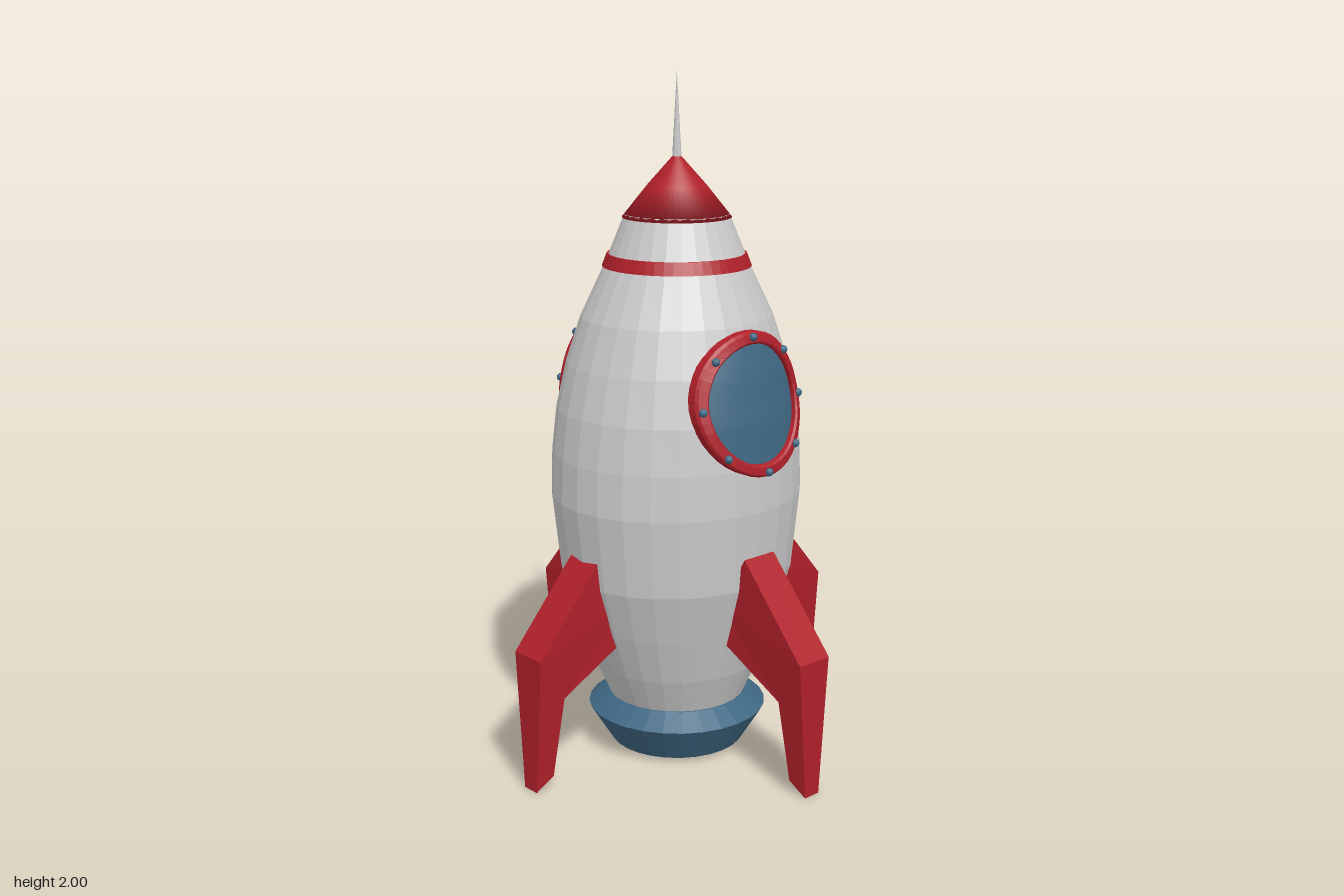
import * as THREE from 'three';

const mat = (color, flatShading = true) =>
  new THREE.MeshStandardMaterial({ color, flatShading, side: THREE.DoubleSide });
const WHITE = 0xcccccc, RED = 0xb0202a, BLUE = 0x3f6883;

// hull stations: height, half width in x, half depth in z
const HULL = [
  [0.15, 0.2, 0.2], [0.27, 0.255, 0.247], [0.41, 0.308, 0.287], [0.56, 0.355, 0.33],
  [0.79, 0.382, 0.35], [0.92, 0.377, 0.348], [1.05, 0.36, 0.337], [1.18, 0.328, 0.312],
  [1.31, 0.283, 0.272], [1.46, 0.208, 0.206], [1.6, 0.15, 0.15],
];

// half width and depth of the hull at a height
function hullAt(y) {
  let i = 0;
  while (i < HULL.length - 2 && y > HULL[i + 1][0]) i++;
  const [p, q] = [HULL[i], HULL[i + 1]];
  const t = (y - p[0]) / (q[0] - p[0]);
  return [p[1] + (q[1] - p[1]) * t, p[2] + (q[2] - p[2]) * t];
}

function hullZ(x, y) {
  const [a, b] = hullAt(y);
  return b * Math.sqrt(Math.max(0, 1 - (x / a) ** 2));
}

function editVertices(geometry, rule) {
  const pos = geometry.attributes.position;
  const v = new THREE.Vector3();
  for (let i = 0; i < pos.count; i++) {
    rule(v.fromBufferAttribute(pos, i));
    pos.setXYZ(i, v.x, v.y, v.z);
  }
  geometry.computeVertexNormals();
  return geometry;
}

const lathe = (points, segments) =>
  new THREE.LatheGeometry(points.map(([r, y]) => new THREE.Vector2(r, y)), segments);

function add(parent, name, geometry, material) {
  const mesh = new THREE.Mesh(geometry, material);
  mesh.name = name;
  parent.add(mesh);
  return mesh;
}

// lays a shape drawn around the z axis onto the front of the hull
const WINDOW_Y = 1.1;
const drape = (geometry) => editVertices(geometry, (v) => {
  v.y += WINDOW_Y;
  v.z += hullZ(v.x, v.y);
});

function makeWindow() {
  const group = new THREE.Group();
  const frame = lathe([[0.166, -0.02], [0.2, -0.02], [0.2, 0.024], [0.194, 0.03],
    [0.172, 0.03], [0.166, 0.024], [0.166, -0.02]], 40).rotateX(Math.PI / 2);
  add(group, 'windowFrame', drape(frame), mat(RED));
  add(group, 'windowGlass', drape(new THREE.RingGeometry(0, 0.17, 40, 6).translate(0, 0, 0.01)), mat(BLUE, false));
  for (let i = 0; i < 8; i++) {
    const a = i * Math.PI / 4;
    const x = 0.186 * Math.cos(a), y = WINDOW_Y + 0.186 * Math.sin(a);
    add(group, 'rivet', new THREE.SphereGeometry(0.012, 10, 8), mat(BLUE, false))
      .position.set(x, y, hullZ(x, y) + 0.032);
  }
  return group;
}

// bent leg in side outline, narrowing toward the foot
function finGeometry() {
  const shape = new THREE.Shape([[0.345, 0.66], [0.25, 0.5], [0.27, 0.385], [0.475, 0.27],
    [0.505, 0.035], [0.565, 0], [0.565, 0.405]].map(([x, y]) => new THREE.Vector2(x, y)));
  const geometry = new THREE.ExtrudeGeometry(shape, { depth: 2, bevelEnabled: false }).translate(0, 0, -1);
  return editVertices(geometry, (v) => {
    v.z *= 0.027 + 0.031 * Math.min(1, v.y / 0.4);
  });
}

export function createModel() {
  const rocket = new THREE.Group();
  rocket.name = 'rocket';

  // hull, slightly flattened from front to back
  const hull = lathe(HULL.map(([y, a]) => [a, y]), 28);
  editVertices(hull, (v) => {
    const [a, b] = hullAt(v.y);
    v.z *= b / a;
  });
  add(rocket, 'hull', hull, mat(WHITE));

  // nose cone, stripe and antenna
  add(rocket, 'noseCone', lathe([[0, 1.59], [0.157, 1.59], [0.085, 1.68], [0.012, 1.762], [0, 1.762]], 48)
    .toNonIndexed(), mat(RED, false));
  add(rocket, 'stripe', lathe([[0.2, 1.452], [0.215, 1.452], [0.201, 1.488], [0.185, 1.488]], 48), mat(RED));
  add(rocket, 'antenna', new THREE.ConeGeometry(0.014, 0.25, 10).translate(0, 1.875, 0), mat(WHITE));

  // hollow engine nozzle
  add(rocket, 'nozzle', lathe([[0, 0.13], [0.13, 0.13], [0.16, 0.012], [0.2, 0.012],
    [0.267, 0.12], [0.21, 0.162], [0.18, 0.162]], 28), mat(BLUE));

  // front and back portholes
  for (let i = 0; i < 2; i++) {
    const porthole = makeWindow();
    porthole.name = i ? 'backWindow' : 'frontWindow';
    porthole.rotation.y = i * Math.PI;
    rocket.add(porthole);
  }

  // four landing fins
  const fin = finGeometry();
  ['leftFin', 'backFin', 'rightFin', 'frontFin'].forEach((name, i) => {
    add(rocket, name, fin, mat(RED)).rotation.y = i * Math.PI / 2;
  });
  return rocket;
}
